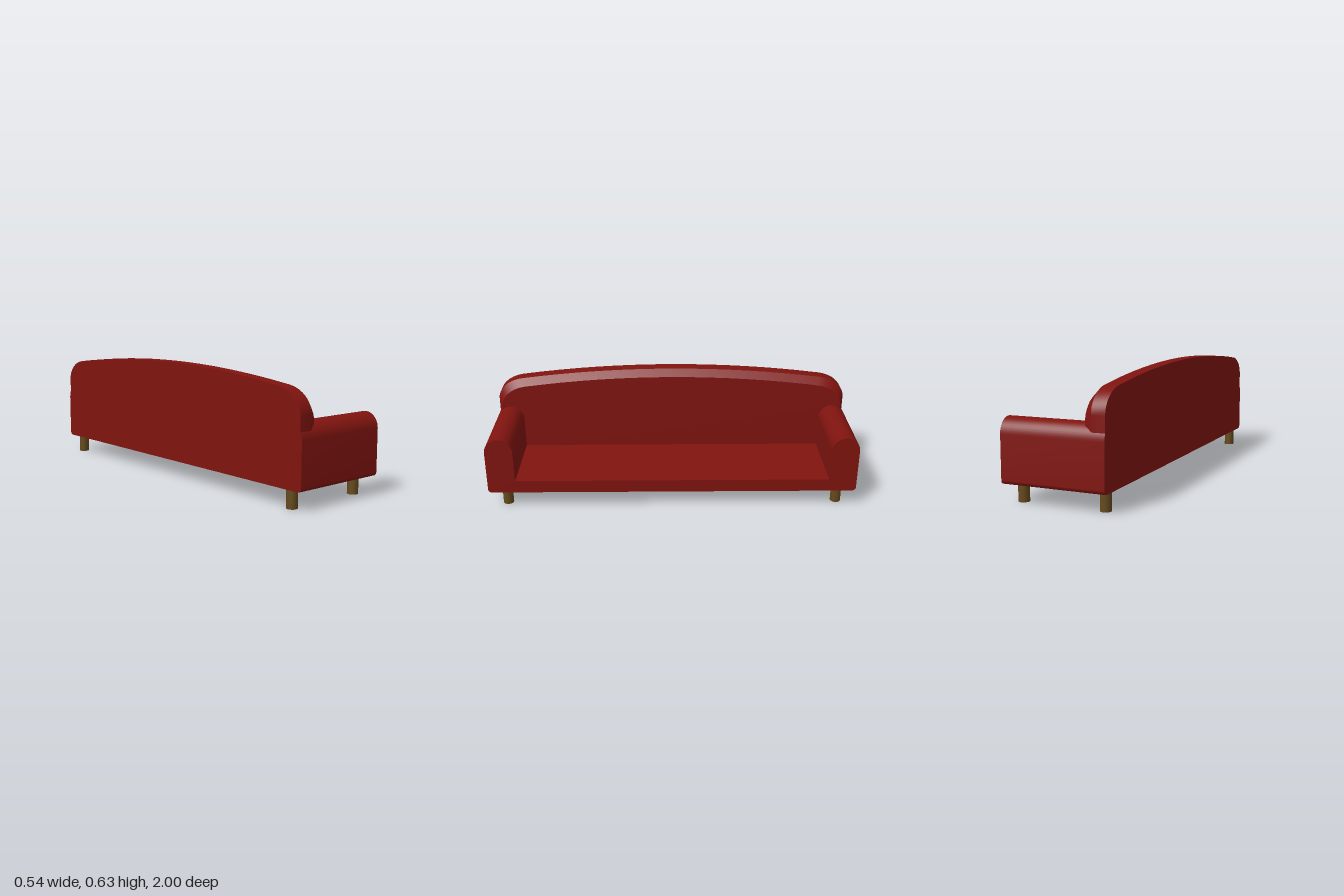
import * as THREE from 'three';
import { toCreasedNormals } from 'three/addons/utils/BufferGeometryUtils.js';

const fabric = new THREE.MeshStandardMaterial({ color: 0x80140f });
const wood = new THREE.MeshStandardMaterial({ color: 0x64491c });

function addPart(parent, name, geometry, material) {
  const mesh = new THREE.Mesh(geometry, material);
  mesh.name = name;
  parent.add(mesh);
  return mesh;
}

// One continuous profile: base, seat and both rounded arms, run front to back
function bodyGeometry() {
  const bottom = 0.095, seat = 0.165, shoulder = 0.335, r = 0.02;
  const s = new THREE.Shape();
  s.moveTo(-1 + r, bottom);
  s.lineTo(1 - r, bottom);
  s.absarc(1 - r, bottom + r, r, -Math.PI / 2, 0, false);
  s.lineTo(1, shoulder);
  s.absellipse(0.925, shoulder, 0.075, 0.077, 0, Math.PI, false);
  s.lineTo(0.85, seat);
  s.lineTo(-0.85, seat);
  s.lineTo(-0.85, shoulder);
  s.absellipse(-0.925, shoulder, 0.075, 0.077, 0, Math.PI, false);
  s.lineTo(-1, bottom + r);
  s.absarc(-1 + r, bottom + r, r, Math.PI, Math.PI * 1.5, false);
  const g = new THREE.ExtrudeGeometry(s, { depth: 0.54, bevelEnabled: false, curveSegments: 10 });
  g.rotateY(Math.PI / 2).translate(-0.27, 0, 0);
  return toCreasedNormals(g, 0.5);
}

// Arched backrest with a chamfer sloping in towards the seat
function backGeometry() {
  const s = new THREE.Shape();
  s.moveTo(-0.99, 0.16);
  s.lineTo(0.99, 0.16);
  s.lineTo(0.99, 0.45);
  s.bezierCurveTo(0.99, 0.51, 0.93, 0.562, 0.85, 0.572);
  s.quadraticCurveTo(0.425, 0.682, 0, 0.627);
  s.curves.pop();
  s.currentPoint.set(0.85, 0.572);
  for (let i = 1; i <= 16; i++) {
    const u = 0.85 - (1.7 * i) / 16;
    s.lineTo(u, 0.627 - 0.076 * u * u);
  }
  s.bezierCurveTo(-0.93, 0.562, -0.99, 0.51, -0.99, 0.45);
  s.closePath();
  const g = new THREE.ExtrudeGeometry(s, { depth: 0.11, steps: 2, bevelEnabled: false, curveSegments: 10 });
  const p = g.attributes.position;
  for (let i = 0; i < p.count; i++) {
    const w = p.getZ(i);
    if (w > 0.1) p.setXY(i, p.getX(i) * 0.98, p.getY(i) - 0.036);
    else if (w > 0.01) p.setZ(i, 0.07);
  }
  g.rotateY(Math.PI / 2).translate(-0.27, 0, 0);
  return toCreasedNormals(g, 0.5);
}

export function createModel() {
  const sofa = new THREE.Group();
  sofa.name = 'sofa';
  addPart(sofa, 'seatAndArms', bodyGeometry(), fabric);
  addPart(sofa, 'backrest', backGeometry(), fabric);

  // Four short round legs
  const legGeometry = new THREE.CylinderGeometry(0.028, 0.028, 0.1, 24);
  for (const [row, x] of [['back', -0.23], ['front', 0.205]]) {
    for (const [side, z] of [['Right', 0.907], ['Left', -0.907]]) {
      addPart(sofa, row + side + 'Leg', legGeometry, wood).position.set(x, 0.05, z);
    }
  }
  return sofa;
}
